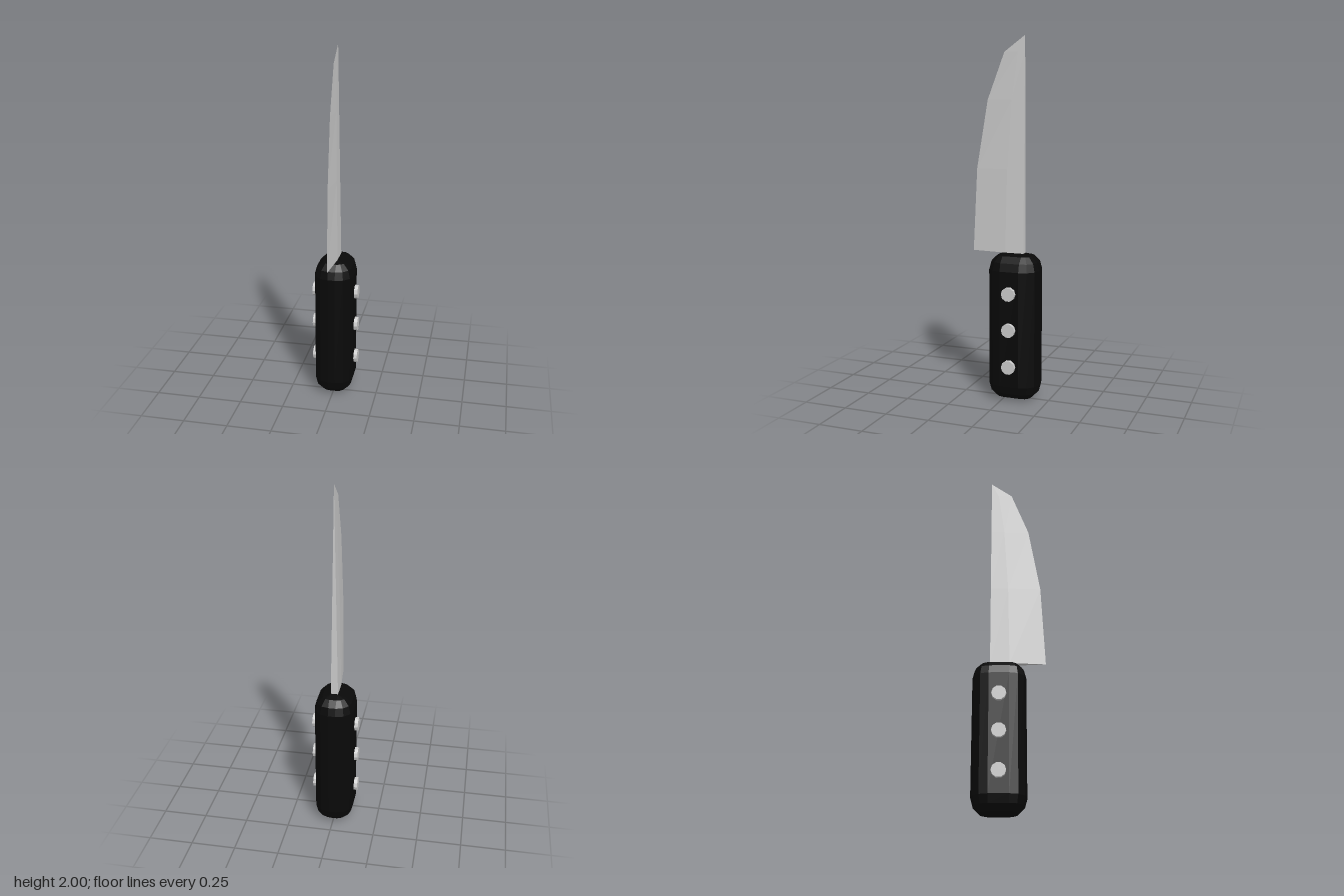
import * as THREE from 'three';

// Skin a stack of convex rings (counter-clockwise seen from above) and cap both ends.
function loft(rings) {
  const n = rings[0].length;
  const index = [];
  for (let i = 0; i < rings.length - 1; i++) {
    for (let j = 0; j < n; j++) {
      const a = i * n + j, b = i * n + (j + 1) % n;
      index.push(a, b, b + n, a, b + n, a + n);
    }
  }
  const top = (rings.length - 1) * n;
  for (let j = 1; j < n - 1; j++) {
    index.push(0, j + 1, j, top, top + j, top + j + 1);
  }
  const geometry = new THREE.BufferGeometry();
  geometry.setAttribute('position', new THREE.Float32BufferAttribute(rings.flat(2), 3));
  geometry.setIndex(index);
  const flat = geometry.toNonIndexed();
  flat.computeVertexNormals();
  return flat;
}

// Box with rounded edges and corners, standing on y = 0.
function roundedBlock(hx, height, hz, r, steps) {
  const ring = (y, radius) => {
    const points = [];
    for (let q = 0; q < 4; q++) {
      const sx = q === 0 || q === 3 ? 1 : -1, sz = q < 2 ? -1 : 1;
      for (let s = 0; s <= steps; s++) {
        const a = (q + s / steps) * Math.PI / 2;
        points.push([sx * (hx - r) + radius * Math.cos(a), y, sz * (hz - r) - radius * Math.sin(a)]);
      }
    }
    return points;
  };
  const lower = [], upper = [];
  for (let s = 0; s <= steps; s++) {
    const a = s / steps * Math.PI / 2;
    const inset = r * (1 - Math.cos(a));
    lower.push(ring(inset, r * Math.sin(a)));
    upper.unshift(ring(height - inset, r * Math.sin(a)));
  }
  return loft([...lower, ...upper]);
}

export function createModel() {
  const model = new THREE.Group();
  const steel = new THREE.MeshStandardMaterial({ color: 0xcccccc, flatShading: true });
  const black = new THREE.MeshStandardMaterial({ color: 0x090909, flatShading: true });
  const add = (name, geometry, material) => {
    const mesh = new THREE.Mesh(geometry, material);
    mesh.name = name;
    model.add(mesh);
    return mesh;
  };

  // Handle
  const handleTop = 0.825, handleZ = -0.054;
  add('handle', roundedBlock(0.11, handleTop, 0.144, 0.09, 3), black).position.z = handleZ;

  // Blade: [height, cutting edge z], thinning towards the tip
  const spineZ = -0.105;
  const edge = [[handleTop, 0.197], [1.285, 0.174], [1.66, 0.11], [1.914, 0.013], [2, spineZ]];
  add('blade', loft(edge.map(([y, z]) => {
    const w = 0.02 * (2 - y) / (2 - handleTop);
    const ridge = THREE.MathUtils.lerp(spineZ, z, 0.35);
    return [[w, y, ridge], [w, y, spineZ], [-w, y, spineZ], [-w, y, ridge], [0, y, z]];
  })), steel);

  // Rivets running through the handle
  for (const y of [0.205, 0.413, 0.615]) {
    const rivet = new THREE.CylinderGeometry(0.039, 0.039, 0.26, 10).rotateZ(Math.PI / 2);
    add('rivet', rivet, steel).position.set(0, y, handleZ);
  }
  return model;
}
